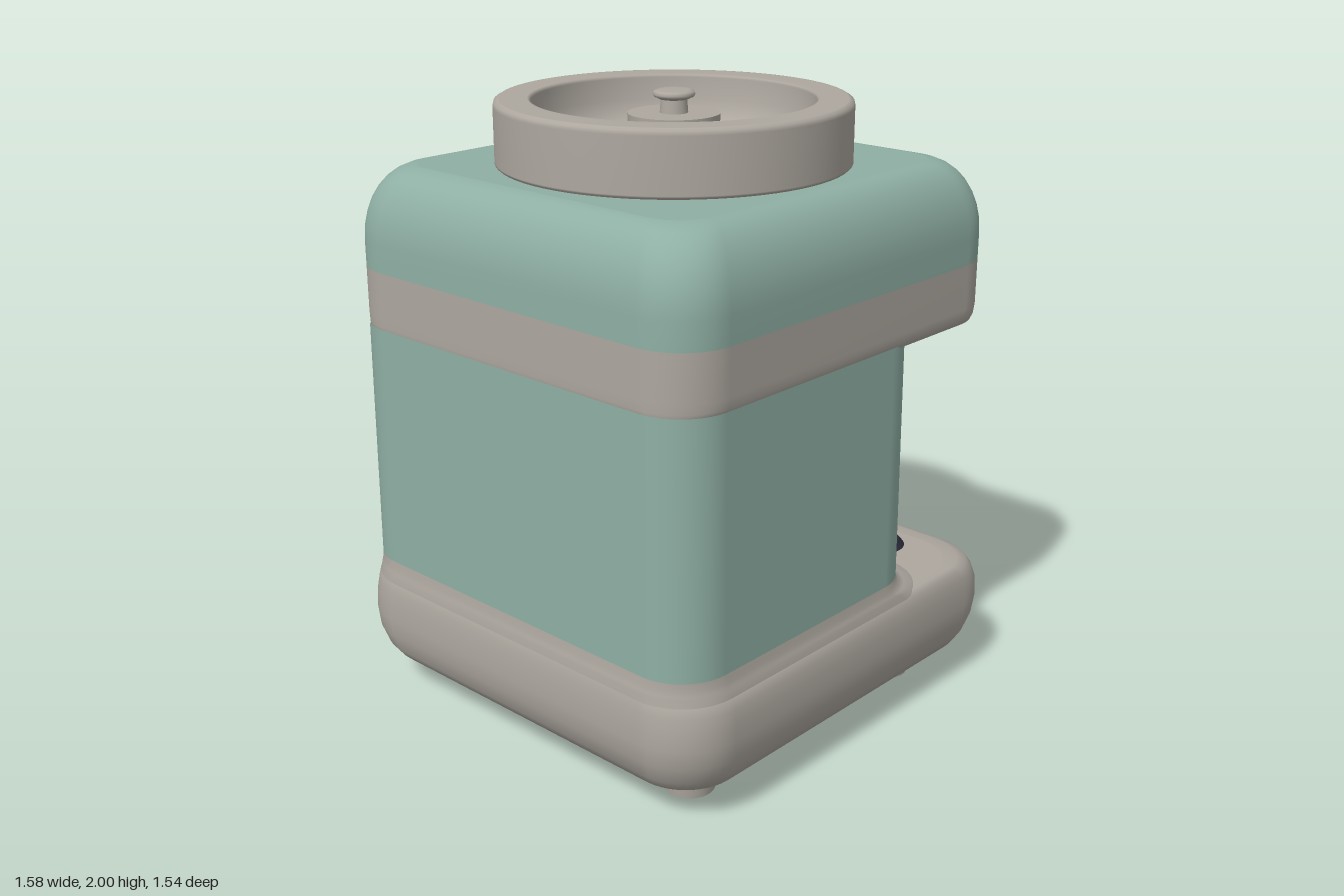
import * as THREE from 'three';
import { ParametricGeometry } from 'three/addons/geometries/ParametricGeometry.js';

const material = (name, color, side = THREE.FrontSide) => {
  const m = new THREE.MeshStandardMaterial({ color, side });
  m.name = name;
  return m;
};

// Outline of a rounded rectangle, corner by corner
function ring([y, x0, x1, z, r], steps = 10) {
  const points = [];
  const corners = [[x1 - r, z - r], [x0 + r, z - r], [x0 + r, r - z], [x1 - r, r - z]];
  corners.forEach(([cx, cz], q) => {
    for (let i = 0; i <= steps; i++) {
      const a = (q + i / steps) * Math.PI / 2;
      points.push([cx + r * Math.cos(a), y, cz + r * Math.sin(a)]);
    }
  });
  return points;
}

// Smooth skin through sections [y, x0, x1, halfDepth, cornerRadius], with optional flat caps
function loft(sections, capBottom = true, capTop = true) {
  const rings = sections.map(s => ring(s));
  const n = rings[0].length;
  const pos = rings.flat(2);
  const index = [];
  for (let i = 0; i < rings.length - 1; i++) {
    for (let j = 0; j < n; j++) {
      const k = (j + 1) % n;
      const a = i * n + j, b = i * n + k, c = a + n, d = b + n;
      index.push(a, c, b, b, c, d);
    }
  }
  const cap = (points, s, up) => {
    const base = pos.length / 3;
    pos.push(...points.flat(), (s[1] + s[2]) / 2, s[0], 0);
    for (let j = 0; j < n; j++) {
      const k = (j + 1) % n;
      index.push(base + n, base + (up ? k : j), base + (up ? j : k));
    }
  };
  if (capBottom) cap(rings[0], sections[0], false);
  if (capTop) cap(rings.at(-1), sections.at(-1), true);
  const g = new THREE.BufferGeometry();
  g.setAttribute('position', new THREE.Float32BufferAttribute(pos, 3));
  g.setIndex(index);
  g.computeVertexNormals();
  return g;
}

export function createModel() {
  const model = new THREE.Group();
  model.name = 'grinder';
  const green = material('sage green', 0x8fafa4);
  const stone = material('warm stone', 0xada79f, THREE.DoubleSide);
  const dark = material('dark navy', 0x2a2a38);

  const add = (name, geometry, mat, x = 0, y = 0, z = 0, parent = model) => {
    const mesh = new THREE.Mesh(geometry, mat);
    mesh.name = name;
    mesh.position.set(x, y, z);
    parent.add(mesh);
    return mesh;
  };

  // Feet
  for (const x of [-0.52, 0.475]) {
    for (const z of [-0.525, 0.525]) {
      add('foot', new THREE.CylinderGeometry(0.095, 0.08, 0.13, 24), stone, x, 0.065, z);
    }
  }

  // Pillowy base
  add('base', loft([
    [0.11, -0.70, 0.69, 0.69, 0.15],
    [0.12, -0.735, 0.725, 0.72, 0.17],
    [0.16, -0.765, 0.755, 0.745, 0.19],
    [0.22, -0.785, 0.775, 0.765, 0.2],
    [0.28, -0.79, 0.785, 0.77, 0.2],
    [0.34, -0.788, 0.782, 0.768, 0.2],
    [0.38, -0.784, 0.767, 0.762, 0.2],
    [0.41, -0.778, 0.74, 0.752, 0.19],
    [0.425, -0.77, 0.70, 0.735, 0.18],
    [0.43, -0.75, 0.65, 0.70, 0.16],
  ]), stone);

  // Flared collar between base and column
  add('collar', loft([
    [0.41, -0.778, 0.46, 0.75, 0.19],
    [0.435, -0.775, 0.43, 0.745, 0.19],
    [0.445, -0.772, 0.385, 0.74, 0.18],
    [0.46, -0.769, 0.355, 0.736, 0.18],
    [0.485, -0.766, 0.342, 0.732, 0.17],
  ], false, false), stone);

  // Column
  add('column', loft([
    [0.485, -0.766, 0.342, 0.732, 0.17],
    [1.28, -0.765, 0.338, 0.726, 0.17],
  ], false, false), green);

  // Head: stone band below, domed green housing above
  add('band', loft([
    [1.265, -0.76, 0.68, 0.71, 0.16],
    [1.272, -0.764, 0.705, 0.722, 0.17],
    [1.29, -0.766, 0.718, 0.728, 0.18],
    [1.32, -0.766, 0.722, 0.73, 0.18],
    [1.465, -0.766, 0.722, 0.73, 0.18],
  ], true, false), stone);
  const dome = [[1.465, -0.766, 0.722, 0.73, 0.18]];
  for (let i = 0; i <= 8; i++) {
    const a = i / 8 * Math.PI / 2;
    const inset = 0.14 * (1 - Math.cos(a));
    dome.push([1.55 + 0.23 * Math.sin(a), -0.766 + inset, 0.722 - inset, 0.73 - inset, 0.18 - inset * 0.4]);
  }
  add('headHousing', loft(dome, false, true), green);

  // Open hopper ring with a dished floor; doubled points keep the rims crisp
  const profile = points => points.map(([r, y]) => new THREE.Vector2(r, y));
  const hopper = new THREE.Group();
  hopper.name = 'hopper';
  hopper.position.set(-0.023, 0, 0);
  model.add(hopper);
  add('hopperRing', new THREE.LatheGeometry(profile([
    [0.54, 1.77], [0.555, 1.785], [0.555, 1.79], [0.555, 1.96], [0.552, 1.973], [0.54, 1.98],
    [0.535, 1.98], [0.45, 1.98], [0.443, 1.978], [0.44, 1.97], [0.435, 1.90], [0.41, 1.84],
    [0.35, 1.805], [0.28, 1.795], [0, 1.795],
  ]), 72), stone, 0, 0, 0, hopper);
  add('hub', new THREE.CylinderGeometry(0.144, 0.138, 0.14, 40), stone, 0, 1.86, 0, hopper);
  add('knobStem', new THREE.CylinderGeometry(0.04, 0.045, 0.06, 24), stone, 0, 1.95, 0, hopper);
  add('knob', new THREE.LatheGeometry(profile([
    [0, 1.972], [0.045, 1.972], [0.062, 1.98], [0.066, 1.987], [0.062, 1.996], [0.05, 2], [0, 2],
  ]), 32), stone, 0, 0, 0, hopper);

  // Outlet under the head
  add('outlet', new THREE.CylinderGeometry(0.222, 0.218, 0.14, 48), stone, 0.4, 1.21, 0);

  // U-shaped chute: outer and inner skins joined by a rim
  const topCurve = new THREE.SplineCurve(profile([
    [0.32, 1.26], [0.36, 1.215], [0.42, 1.165], [0.5, 1.128], [0.62, 1.08], [0.74, 1.036], [0.785, 1.025],
  ]));
  const chutePoint = (u, v, wall, target) => {
    const { x, y: top } = topCurve.getPoint(u);
    const bottom = 0.907 - 0.032 * u + wall;
    const half = 0.25 - wall;
    const bend = Math.min(bottom + 0.2, top);
    // First and last sixths are the straight walls, the rest is the rounded trough
    const side = v < 0.5 ? -1 : 1;
    const w = Math.min(v, 1 - v) * 6;
    if (w < 1) return target.set(x, top + (bend - top) * w, side * half);
    const a = (w - 1) / 2 * Math.PI / 2;
    return target.set(x, bend - (bend - bottom) * Math.pow(Math.sin(a), 0.85),
      side * half * Math.pow(Math.max(0, Math.cos(a)), 0.85));
  };
  const chute = new THREE.Group();
  chute.name = 'chute';
  model.add(chute);
  const wall = 0.018;
  add('chuteOuter', new ParametricGeometry((u, v, t) => chutePoint(u, v, 0, t), 20, 48), stone, 0, 0, 0, chute);
  add('chuteInner', new ParametricGeometry((u, v, t) => chutePoint(u, v, wall, t), 20, 48), stone, 0, 0, 0, chute);
  add('chuteLip', new ParametricGeometry((u, v, t) => chutePoint(1, v, u * wall, t), 1, 48), stone, 0, 0, 0, chute);
  for (const v of [0, 1]) {
    add('chuteRim', new ParametricGeometry((u, w, t) => chutePoint(u, v, w * wall, t), 20, 1), stone, 0, 0, 0, chute);
  }

  // Button with dark surround, and a flat oval indicator opposite
  add('buttonSurround', new THREE.CylinderGeometry(0.075, 0.095, 0.024, 32), dark, 0.525, 0.441, 0.44);
  add('buttonCap', new THREE.CylinderGeometry(0.052, 0.058, 0.012, 32), stone, 0.525, 0.457, 0.44);
  const indicator = add('indicator', new THREE.CylinderGeometry(1, 1, 0.008, 32), dark, 0.505, 0.433, -0.465);
  indicator.scale.set(0.042, 1, 0.085);
  indicator.rotation.y = 0.3;

  return model;
}
